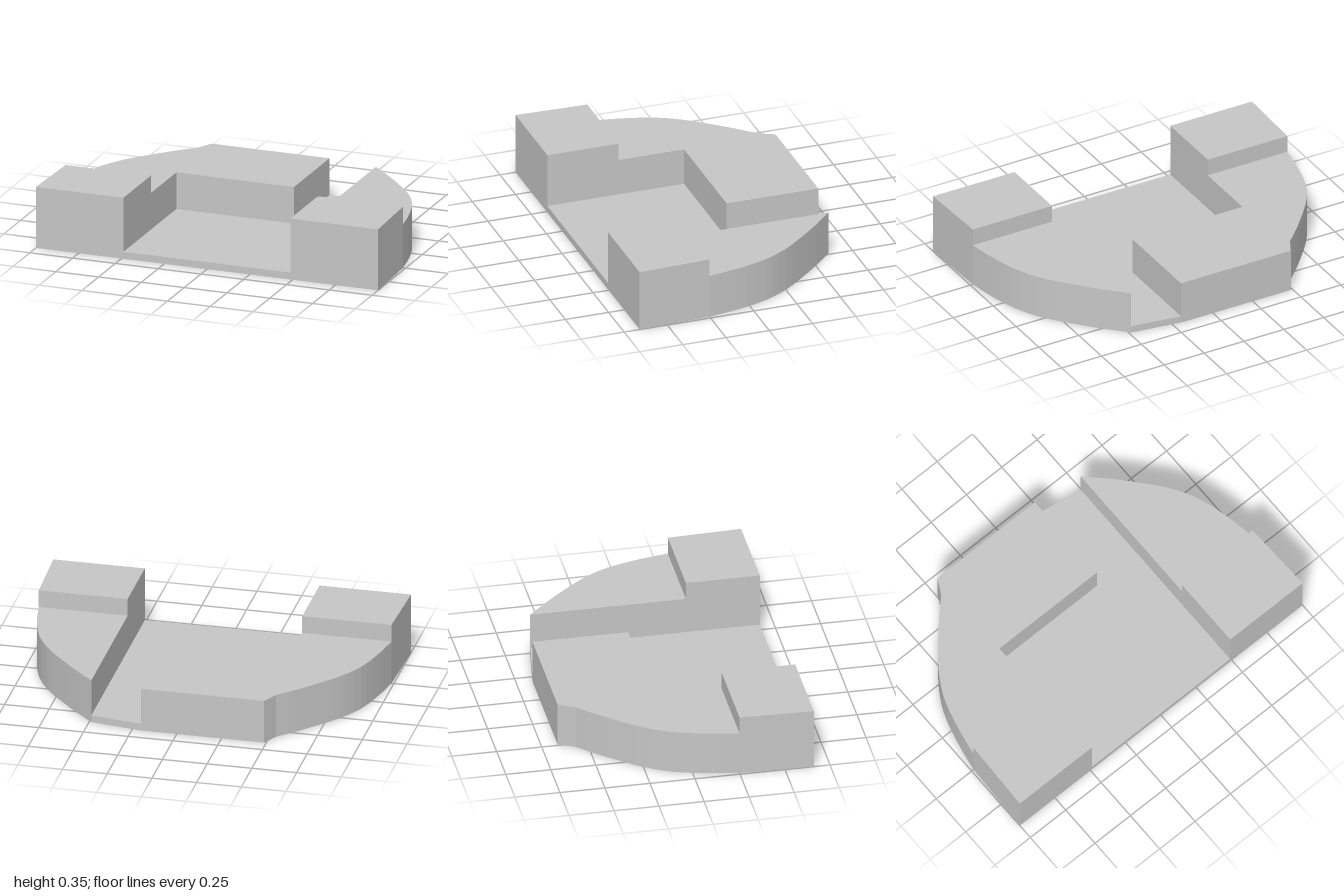
import * as THREE from 'three';

const BASE = 0.04, WING = 0.25, TOP = 0.35;
const FRONT = 0.66, STEP = 0.25, INNER = 0.488;

// Smooth plan curve through a few [x, z] points
function curve(points, segments = 18) {
  const spline = new THREE.CatmullRomCurve3(points.map(([x, z]) => new THREE.Vector3(x, 0, z)));
  return spline.getPoints(segments).map((p) => [p.x, p.z]);
}

// Upright slab from a plan outline of [x, z] points
function slab(name, outline, y0, y1, material) {
  const shape = new THREE.Shape(outline.map(([x, z]) => new THREE.Vector2(x, -z)));
  const geometry = new THREE.ExtrudeGeometry(shape, { depth: y1 - y0, bevelEnabled: false });
  geometry.rotateX(-Math.PI / 2);
  geometry.translate(0, y0, 0);
  const mesh = new THREE.Mesh(geometry, material);
  mesh.name = name;
  return mesh;
}

export function createModel() {
  const group = new THREE.Group();
  group.name = 'steppedBlock';
  const grey = new THREE.MeshStandardMaterial({ color: 0xc6c6c6 });
  grey.name = 'plain grey';

  // Curved sides, running from the step to the back
  const leftSide = curve([[0.985, STEP], [0.955, 0.08], [0.9, -0.105], [0.82, -0.25],
    [0.705, -0.39], [0.6, -0.505], [INNER, -0.615]]);
  const rightSide = curve([[-0.987, STEP], [-0.955, 0.08], [-0.9, -0.11], [-0.82, -0.25],
    [-0.71, -0.385], [-0.62, -0.485], [-0.535, -0.57]]);
  const backCorner = [-0.488, -FRONT], padCorner = [0.2, -FRONT];

  // Thin floor under everything
  group.add(slab('floor', [[1, FRONT], ...leftSide, padCorner, backCorner,
    ...[...rightSide].reverse(), [-1, FRONT]], 0, BASE, grey));

  // Left wing, alone beside the open channel
  group.add(slab('leftWing', [[INNER, FRONT], [1, FRONT], ...leftSide], BASE, WING, grey));

  // Right wing joined to the rear pad in one L shape
  group.add(slab('rightWingAndRearPad', [[-INNER, FRONT], [-1, FRONT], ...rightSide, backCorner,
    padCorner, [0.2, -0.13], [-INNER, -0.13]], BASE, WING, grey));

  // Raised front blocks
  for (const [name, s, edge] of [['leftFrontBlock', 1, 0.985], ['rightFrontBlock', -1, 0.987]]) {
    group.add(slab(name, [[s * INNER, FRONT], [s, FRONT], [s * edge, STEP], [s * INNER, STEP]],
      WING, TOP, grey));
  }
  return group;
}
